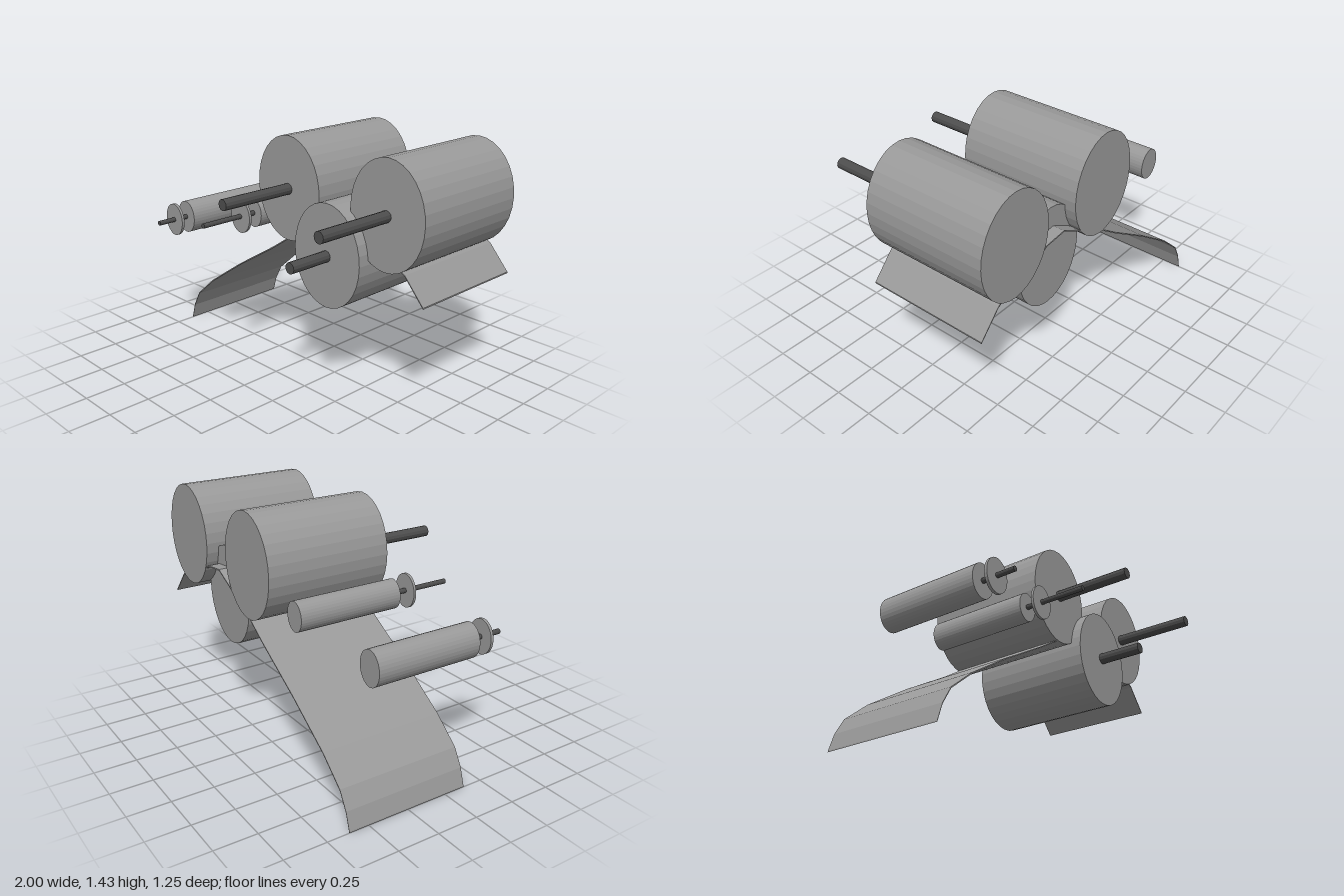
import * as THREE from 'three';

const rollGrey = new THREE.MeshStandardMaterial({ color: 0x999999, flatShading: true });
rollGrey.name = 'roll grey';
const shaftGrey = new THREE.MeshStandardMaterial({ color: 0x4d4d4d, flatShading: true });
shaftGrey.name = 'shaft dark grey';

// Oval cylinder lying along z, from z0 (back) to z1 (front)
function barrel(name, x, y, rx, ry, z0, z1, material, sides) {
  const geometry = new THREE.CylinderGeometry(1, 1, z1 - z0, sides);
  geometry.rotateX(Math.PI / 2);
  geometry.scale(rx, ry, 1);
  const mesh = new THREE.Mesh(geometry, material);
  mesh.name = name;
  mesh.position.set(x, y, (z0 + z1) / 2);
  return mesh;
}

export function createModel() {
  const model = new THREE.Group();
  model.name = 'rollerMachine';

  // Rollers with their shafts, and end discs on the two small ones
  const rollers = [
    { name: 'upperMiddleRoller', x: 0.005, y: 1.125, rx: 0.252, ry: 0.308, z: [-0.62, 0.145], shaft: [0.033, 0.62] },
    { name: 'upperLeftRoller', x: 0.742, y: 1.125, rx: 0.254, ry: 0.308, z: [-0.625, 0.14], shaft: [0.033, 0.625] },
    { name: 'lowerRoller', x: 0.377, y: 0.83, rx: 0.248, ry: 0.302, z: [-0.55, 0.208], shaft: [0.033, 0.478] },
    { name: 'innerGuideRoller', x: -0.313, y: 0.91, rx: 0.073, ry: 0.088, z: [-0.51, 0.14],
      shaft: [0.015, 0.518], disc: [0.085, 0.102, 0.226, 0.242] },
    { name: 'outerGuideRoller', x: -0.848, y: 0.79, rx: 0.084, ry: 0.102, z: [-0.4, 0.252],
      shaft: [0.015, 0.46], disc: [0.084, 0.102, 0.328, 0.345] },
  ];
  for (const r of rollers) {
    const group = new THREE.Group();
    group.name = r.name;
    group.add(barrel('drum', r.x, r.y, r.rx, r.ry, r.z[0], r.z[1], rollGrey, 32));
    const [radius, tip] = r.shaft;
    group.add(barrel('shaft', r.x, r.y, radius, radius, r.z[1] - 0.05, tip, shaftGrey, 12));
    if (r.disc) {
      const [rx, ry, z0, z1] = r.disc;
      group.add(barrel('endDisc', r.x, r.y, rx, ry, z0, z1, rollGrey, 32));
    }
    model.add(group);
  }

  // Thin bent sheet threaded between the rollers
  const path = [
    [-1, 0], [-0.97, 0.1], [-0.915, 0.2], [-0.76, 0.335], [-0.47, 0.53], [-0.15, 0.725],
    [0, 0.825], [0.1, 0.86], [0.23, 0.94], [0.35, 1], [0.49, 0.985], [0.65, 0.9],
    [0.84, 0.845], [0.87, 0.828], [0.998, 0.685],
  ];
  const thickness = 0.008;
  const outline = [
    ...path.map(([x, y]) => new THREE.Vector2(x, y)),
    ...path.map(([x, y]) => new THREE.Vector2(x, y + thickness)).reverse(),
  ];
  const sheetGeometry = new THREE.ExtrudeGeometry(new THREE.Shape(outline), { depth: 0.75, bevelEnabled: false });
  const sheet = new THREE.Mesh(sheetGeometry, rollGrey);
  sheet.name = 'sheet';
  sheet.position.z = -0.62;
  model.add(sheet);

  return model;
}
